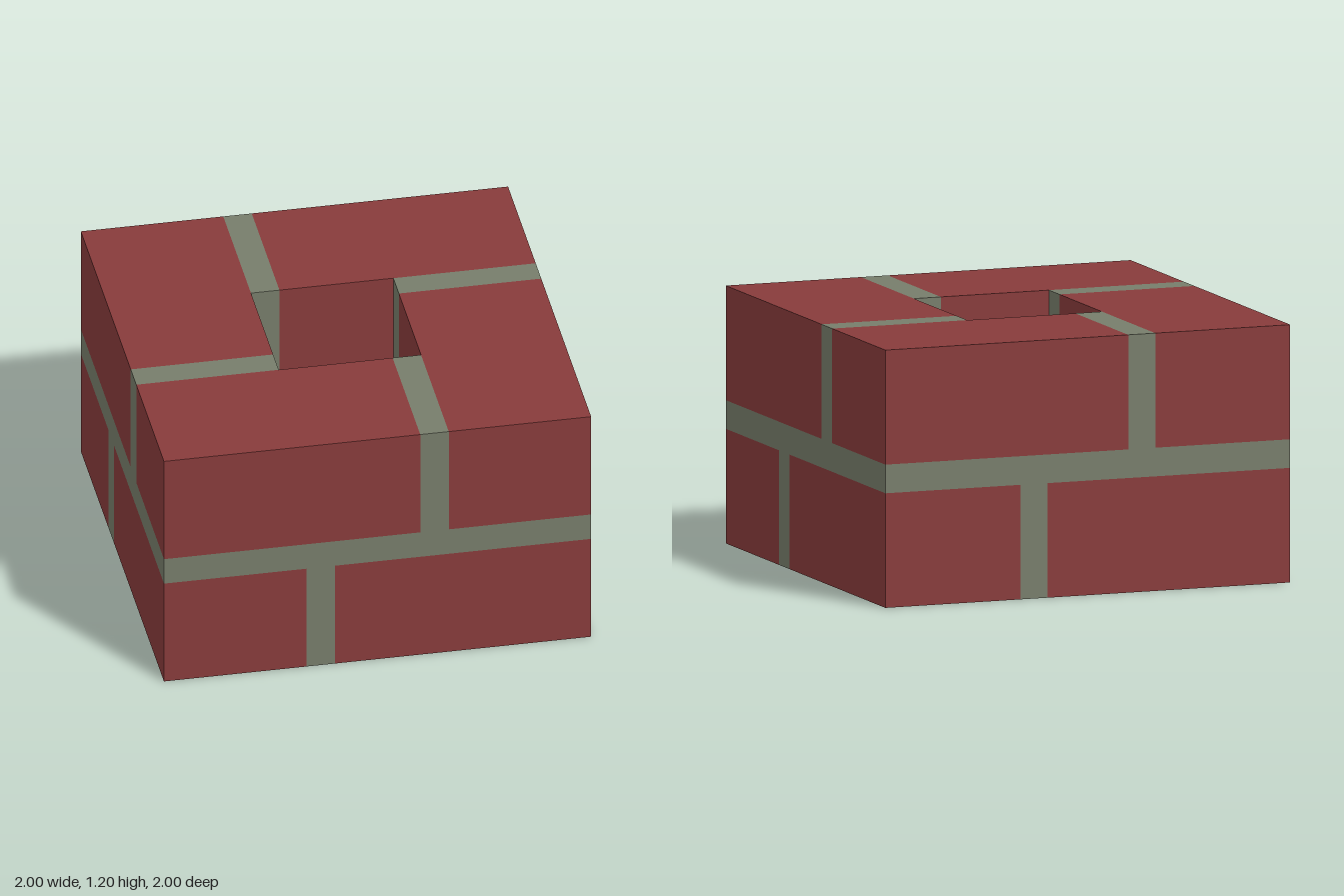
import * as THREE from 'three';

const HOLE = 1 / 3;          // half width of the flue
const JOINT = 2 / 15;        // mortar thickness
const COURSE = 8 / 15;       // brick height

export function createModel() {
  const model = new THREE.Group();
  model.name = 'brickChimney';
  const brick = new THREE.MeshStandardMaterial({ color: 0x883b3b });
  brick.name = 'brick red';
  const mortar = new THREE.MeshStandardMaterial({ color: 0x777d6b });
  mortar.name = 'mortar grey';

  // Box given by its extents on the front wall
  const block = (name, material, x0, x1, y0, y1) => {
    const depth = 1 - HOLE;
    const mesh = new THREE.Mesh(new THREE.BoxGeometry(x1 - x0, y1 - y0, depth), material);
    mesh.position.set((x0 + x1) / 2, (y0 + y1) / 2, HOLE + depth / 2);
    mesh.name = name;
    return mesh;
  };

  // One course: four bricks in a pinwheel, each followed by an upright joint
  const course = (name, y0, dir) => {
    const group = new THREE.Group();
    group.name = name;
    const y1 = y0 + COURSE;
    const inner = HOLE - JOINT;
    for (let i = 0; i < 4; i++) {
      const side = new THREE.Group();
      side.name = 'wallSide';
      const span = (a, b) => (dir > 0 ? [a, b] : [-b, -a]);
      side.add(
        block('brick', brick, ...span(-1, inner), y0, y1),
        block('uprightJoint', mortar, ...span(inner, HOLE), y0, y1)
      );
      side.rotation.y = (i * Math.PI) / 2;
      group.add(side);
    }
    return group;
  };
  model.add(course('lowerCourse', 0, -1), course('upperCourse', COURSE + JOINT, 1));

  // Flat mortar bed between the courses, a square ring around the flue
  const bed = new THREE.Group();
  bed.name = 'mortarBed';
  for (let i = 0; i < 4; i++) {
    const side = new THREE.Group();
    side.name = 'bedSide';
    side.add(block('bedStrip', mortar, -1, HOLE, COURSE, COURSE + JOINT));
    side.rotation.y = (i * Math.PI) / 2;
    bed.add(side);
  }
  model.add(bed);
  return model;
}
